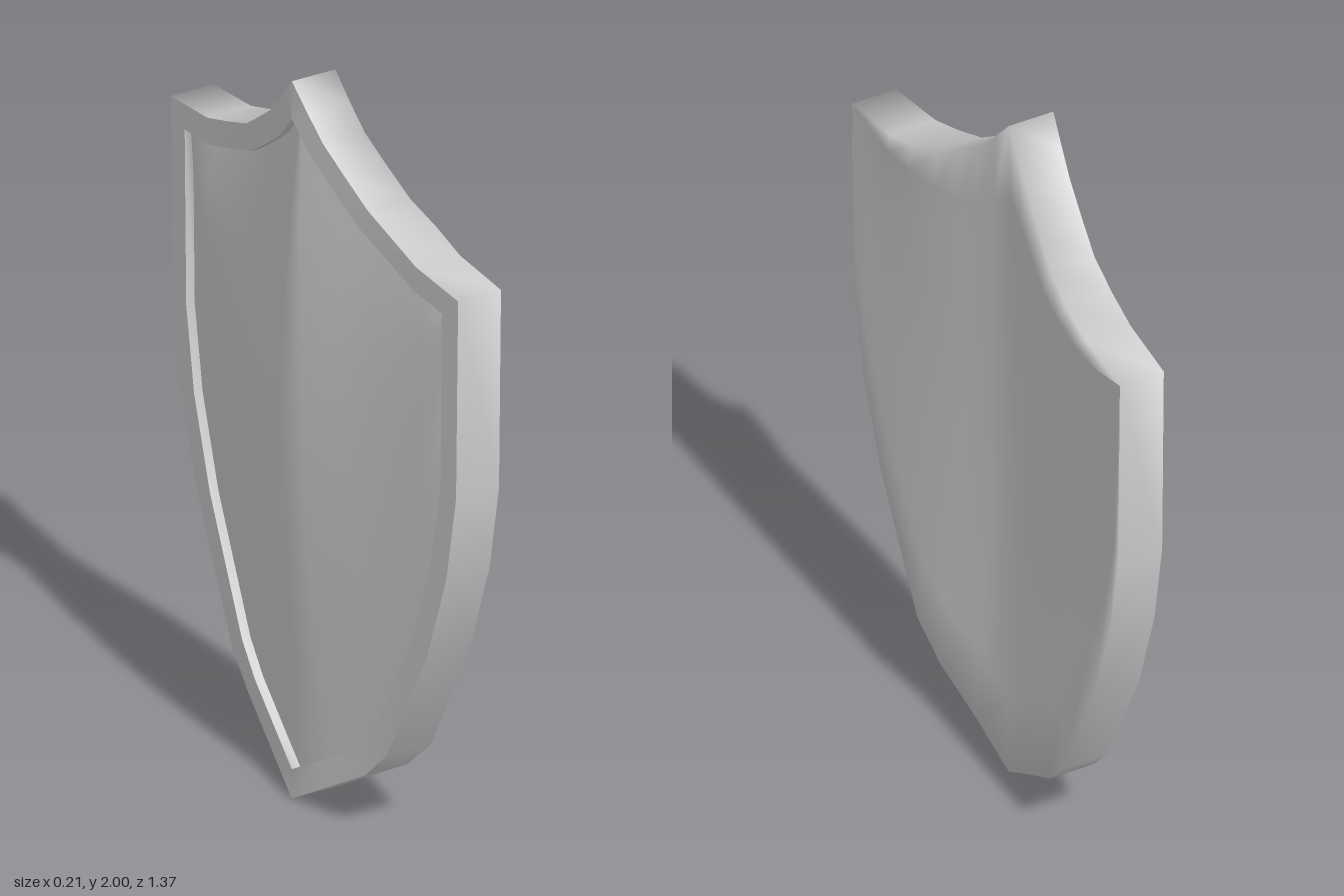
import * as THREE from 'three';
import { mergeGeometries, mergeVertices } from 'three/addons/utils/BufferGeometryUtils.js';

const RIM = 0.07, RECESS = 0.025, BULGE = 0.04, ROWS = 9;

// Half outline as [z, y], centre line to shoulder
const TOP = [[0, 2], [0.06, 1.933], [0.12, 1.87], [0.205, 1.808], [0.29, 1.75], [0.395, 1.71], [0.5, 1.675], [0.687, 1.655]];
const BOTTOM = [[0, 0], [0.14, 0.085], [0.28, 0.17], [0.37, 0.26], [0.55, 0.61], [0.635, 0.86], [0.678, 1.1], [0.687, 1.655]];

// Curvature across the shield as [distance from centre, x]
const FACE = [[0, -0.093], [0.28, -0.05], [0.4, -0.04], [0.69, -0.026]];
const BACK = [[0, 0.035], [0.1, 0.045], [0.28, 0.075], [0.37, 0.09], [0.69, 0.1]];

function lookup(table, z) {
  const d = Math.abs(z);
  let i = 1;
  while (i < table.length - 1 && d > table[i][0]) i++;
  const [a, b] = [table[i - 1], table[i]];
  return THREE.MathUtils.lerp(a[1], b[1], (d - a[0]) / (b[0] - a[0]));
}

const mirrored = (half) => [...half.slice(1).reverse().map(([z, y]) => [-z, y]), ...half];

// Closed loop: over the top towards +z, then back along the bottom
const closedLoop = (top, bottom) => [...top, ...bottom.slice(1, -1).reverse()];

// Mitred inward offset of a closed loop
function inset(loop, w) {
  const n = loop.length;
  const normal = (a, b) => new THREE.Vector2(b[1] - a[1], a[0] - b[0]).normalize();
  return loop.map((p, i) => {
    const n1 = normal(loop[(i + n - 1) % n], p);
    const n2 = normal(p, loop[(i + 1) % n]);
    const k = w / (1 + n1.dot(n2));
    return [p[0] + (n1.x + n2.x) * k, p[1] + (n1.y + n2.y) * k];
  });
}

// Indexed sheet through rows of [x, y, z] points
function sheet(rows, closed = false) {
  const n = rows[0].length, index = [];
  for (let j = 0; j < rows.length - 1; j++) {
    for (let i = 0; i < (closed ? n : n - 1); i++) {
      const k = (i + 1) % n;
      const a = j * n + i, b = j * n + k, c = b + n, d = a + n;
      index.push(a, b, c, a, c, d);
    }
  }
  const geo = new THREE.BufferGeometry();
  geo.setAttribute('position', new THREE.Float32BufferAttribute(rows.flat(2), 3));
  geo.setIndex(index);
  return geo;
}

// Rows from the bottom edge to the top edge; x comes from a rule of z and t
function fill(top, bottom, xRule) {
  return Array.from({ length: ROWS + 1 }, (_, j) => {
    const t = j / ROWS;
    return top.map((p, i) => {
      const z = THREE.MathUtils.lerp(bottom[i][0], p[0], t);
      const y = THREE.MathUtils.lerp(bottom[i][1], p[1], t);
      return [xRule(z, t), y, z];
    });
  });
}

export function createModel() {
  const group = new THREE.Group();
  const material = new THREE.MeshStandardMaterial({ color: 0xcccccc });
  const add = (name, geo) => {
    const smooth = mergeVertices(geo, 1e-5);
    smooth.computeVertexNormals();
    const mesh = new THREE.Mesh(smooth, material);
    mesh.name = name;
    group.add(mesh);
  };

  const top = mirrored(TOP), bottom = mirrored(BOTTOM);
  const outer = closedLoop(top, bottom);
  const inner = inset(outer, RIM);
  const n = top.length;
  const innerTop = inner.slice(0, n);
  const innerBottom = [inner[0], ...inner.slice(n).reverse(), inner[n - 1]];

  const bow = (z, t) => Math.sin(Math.PI * t) * (1 - (z / 0.69) ** 2);
  const backX = (z, t) => lookup(BACK, z) - 0.015 * bow(z, t);
  const panelX = (z, t) => lookup(FACE, z) + RECESS - BULGE * bow(z, t);
  const onFace = (loop, shift = 0) => loop.map(([z, y]) => [lookup(FACE, z) + shift, y, z]);
  const onBack = outer.map(([z, y]) => [lookup(BACK, z), y, z]);

  // Hollow back and outer side wall, shaded as one smooth skin
  add('backAndSide', mergeGeometries([
    sheet(fill(top, bottom, backX).reverse()),
    sheet([onFace(outer), onBack], true),
  ]));

  // Raised border, its inner step, and the bowed panel
  add('rim', sheet([onFace(inner), onFace(outer)], true));
  add('rimStep', sheet([onFace(inner, RECESS), onFace(inner)], true));
  add('panel', sheet(fill(innerTop, innerBottom, panelX)));

  return group;
}
